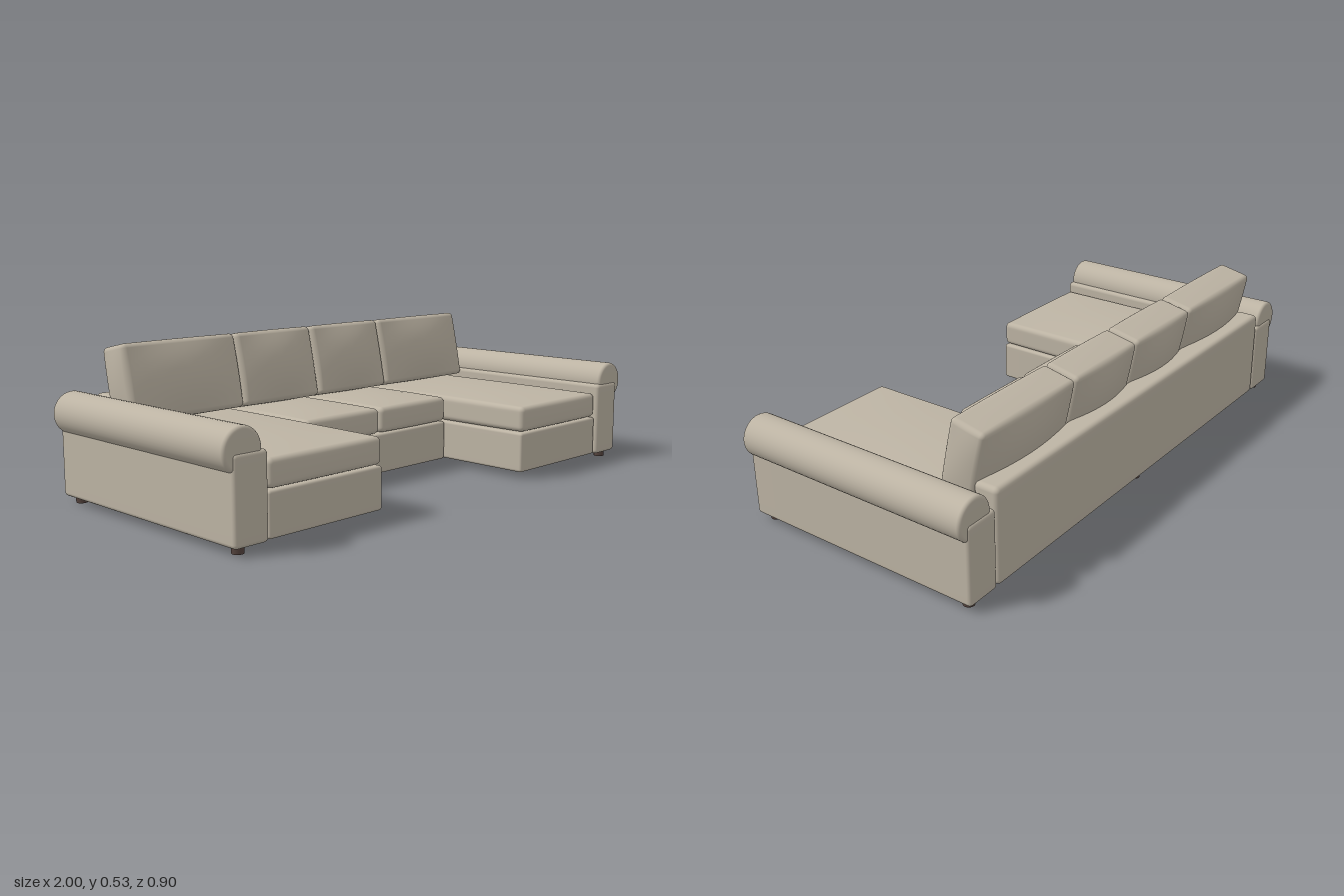
import * as THREE from 'three';
import { mergeVertices } from 'three/addons/utils/BufferGeometryUtils.js';

// Rounded box with soft crowned faces; bulge = [x, y, z] swelling of each pair of faces
function padGeometry(w, h, d, r, bulge = [0, 0, 0]) {
  const geo = new THREE.BoxGeometry(2, 2, 2, 16, 16, 16);
  geo.deleteAttribute('uv');
  geo.deleteAttribute('normal');
  const pos = geo.attributes.position;
  const half = [w / 2, h / 2, d / 2];
  // spread the grid so that most rows lie inside the rounded edge
  const spread = (t, s) => {
    const a = Math.abs(t);
    const v = a <= 0.5 ? (a / 0.5) * (s - r) : s - r + ((a - 0.5) / 0.5) * r;
    return Math.sign(t) * v;
  };
  for (let i = 0; i < pos.count; i++) {
    const p = [pos.getX(i), pos.getY(i), pos.getZ(i)].map((t, k) => spread(t, half[k]));
    const core = p.map((v, k) => THREE.MathUtils.clamp(v, r - half[k], half[k] - r));
    const off = new THREE.Vector3(...p.map((v, k) => v - core[k])).setLength(r).toArray();
    const q = core.map((v, k) => v + off[k]);
    const u = q.map((v, k) => v / half[k]);
    const out = q.map((v, k) => {
      const a = u[(k + 1) % 3], b = u[(k + 2) % 3];
      return v + bulge[k] * u[k] * (1 - a * a) * (1 - b * b);
    });
    pos.setXYZ(i, ...out);
  }
  const merged = mergeVertices(geo, 1e-5);
  merged.computeVertexNormals();
  return merged;
}

export function createModel() {
  const model = new THREE.Group();
  model.name = 'sectionalSofa';

  const fabric = new THREE.MeshStandardMaterial({ color: 0xbdb4a4 });
  fabric.name = 'beigeFabric';
  const wood = new THREE.MeshStandardMaterial({ color: 0x54433d });
  wood.name = 'darkWood';

  const add = (name, geo, mat = fabric) => {
    const mesh = new THREE.Mesh(geo, mat);
    mesh.name = name;
    model.add(mesh);
    return mesh;
  };
  // Pad given by its extents on each axis
  const pad = (name, [x0, x1], [y0, y1], [z0, z1], r, bulge) => {
    const mesh = add(name, padGeometry(x1 - x0, y1 - y0, z1 - z0, r, bulge));
    mesh.position.set((x0 + x1) / 2, (y0 + y1) / 2, (z0 + z1) / 2);
    return mesh;
  };
  const span = (s, a, b) => (s > 0 ? [a, b] : [-b, -a]);

  // Back frame and middle base
  pad('backFrame', [-0.836, 0.836], [0.023, 0.355], [-0.452, -0.362], 0.018);
  pad('middleBase', [-0.359, 0.359], [0.025, 0.17], [-0.37, 0.085], 0.01);

  // Roll profile with softened end edges
  const R = 0.0715, L = 0.446, e = 0.012;
  const profile = [new THREE.Vector2(0, -L)];
  for (let i = 0; i <= 5; i++) {
    const a = (i / 5) * Math.PI / 2;
    profile.push(new THREE.Vector2(R - e + e * Math.sin(a), -L + e - e * Math.cos(a)));
  }
  profile.push(...profile.map((p) => new THREE.Vector2(p.x, -p.y)).reverse());
  const rollGeo = new THREE.LatheGeometry(profile, 40);
  rollGeo.rotateX(Math.PI / 2);

  const legGeo = new THREE.CylinderGeometry(0.02, 0.019, 0.03, 20);
  const addLeg = (x, z) => add('leg', legGeo, wood).position.set(x, 0.015, z);

  for (const s of [1, -1]) {
    const side = s > 0 ? 'left' : 'right';
    // Arm with rolled top
    pad(side + 'Arm', span(s, 0.84, 0.968), [0.023, 0.297], [-0.452, 0.452], 0.014);
    add(side + 'ArmRoll', rollGeo).position.set(s * 0.9285, 0.303, 0);

    // Chaise base and long cushion
    pad(side + 'ChaiseBase', span(s, 0.363, 0.835), [0.025, 0.17], [-0.37, 0.443], 0.01);
    pad(side + 'ChaiseCushion', span(s, 0.365, 0.833), [0.173, 0.264], [-0.36, 0.443],
      0.018, [0, 0.012, 0.003]);

    // Middle seat cushion
    pad(side + 'SeatCushion', span(s, 0.004, 0.358), [0.173, 0.264], [-0.36, 0.087],
      0.018, [0, 0.012, 0.003]);

    // Leaning back cushions
    for (const [name, a, b] of [['Inner', 0.004, 0.359], ['Outer', 0.367, 0.832]]) {
      const cushion = pad(side + name + 'BackCushion', span(s, a, b), [0.264, 0.526],
        [-0.378, -0.252], 0.016, [name === 'Outer' ? 0.012 : 0.002, 0.002, 0.027]);
      cushion.rotation.x = -0.21;
    }

    // Corner legs
    for (const z of [0.41, -0.41]) addLeg(s * 0.925, z);
  }

  // Centre legs
  for (const z of [0.053, -0.41]) addLeg(0, z);

  return model;
}
